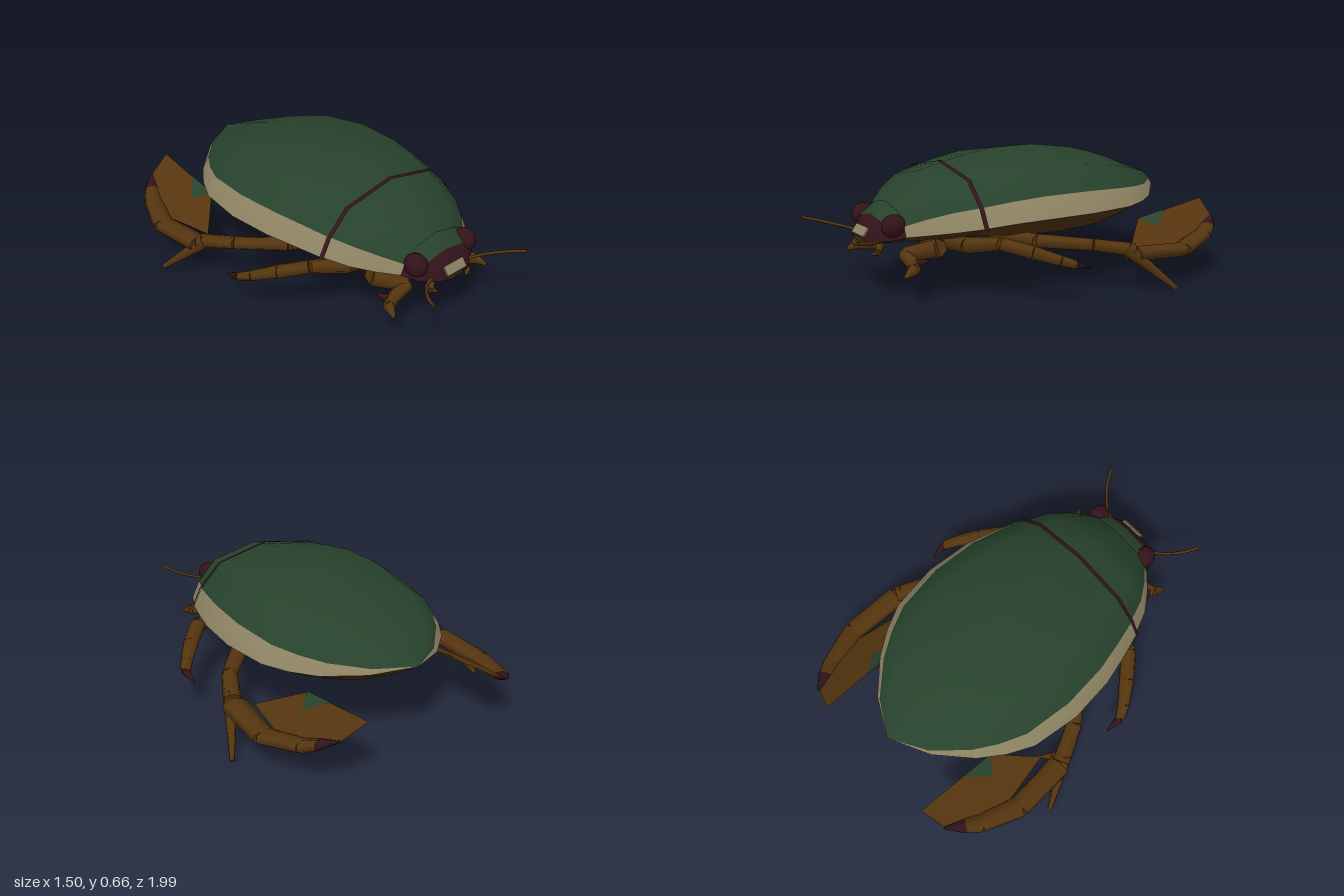
import * as THREE from 'three';

const flat = (name, color) => {
  const m = new THREE.MeshStandardMaterial({ color, side: THREE.DoubleSide });
  m.name = name;
  return m;
};

// Half profiles (width fraction, height fraction), from the rim to the centre line
const DOME = [[1, 0], [0.89, 0.36], [0.63, 0.79], [0, 1]];
const KEEL = [[1, 0], [0.8, 0.35], [0.45, 0.85], [0, 1]];

// Rows are [z, half width, rim y, top y, bottom y], front to back.
// pick(row, segment) returns the material index of each strip.
function shell(name, rows, materials, pick = () => 0, under = false) {
  const half = under ? KEEL : DOME;
  const profile = [...half, ...half.slice(0, -1).reverse().map(([u, v]) => [-u, v])];
  if (under) profile.reverse();
  const n = profile.length, pos = [], index = [], geo = new THREE.BufferGeometry();
  for (const [z, w, rim, top, bottom] of rows)
    for (const [u, v] of profile) pos.push(u * w, rim + v * ((under ? bottom : top) - rim), z);
  for (let i = 0; i < rows.length - 1; i++)
    for (let j = 0; j < n - 1; j++) {
      const a = i * n + j, b = a + 1, c = a + n, d = c + 1;
      geo.addGroup(index.length, 6, pick(i, j));
      index.push(a, c, b, b, c, d);
    }
  geo.setAttribute('position', new THREE.Float32BufferAttribute(pos, 3));
  geo.setIndex(index);
  geo.computeVertexNormals();
  const mesh = new THREE.Mesh(geo, materials);
  mesh.name = name;
  return mesh;
}

// Chain of tapered segments through [x, y, z, radius]; tip colours the last one
function limb(name, points, s, mat, tip = mat, thin = 1, sides = 7) {
  const group = new THREE.Group();
  group.name = name;
  for (let i = 0; i < points.length - 1; i++) {
    const [p, q] = [points[i], points[i + 1]];
    const a = new THREE.Vector3(p[0] * s, p[1], p[2]);
    const b = new THREE.Vector3(q[0] * s, q[1], q[2]);
    const dir = b.clone().sub(a), len = dir.length();
    dir.normalize();
    const across = new THREE.Vector3().crossVectors(dir, new THREE.Vector3(0, 1, 0)).normalize();
    const basis = new THREE.Matrix4().makeBasis(across, dir, new THREE.Vector3().crossVectors(across, dir));
    basis.setPosition(a.add(b).multiplyScalar(0.5));
    const geo = new THREE.CylinderGeometry(q[3], p[3], len, sides);
    geo.scale(1, 1, thin).applyMatrix4(basis);
    const mesh = new THREE.Mesh(geo, i === points.length - 2 ? tip : mat);
    mesh.name = name + 'Segment';
    group.add(mesh);
  }
  return group;
}

// Flat fan of corners
function plate(name, corners, s, mat) {
  const geo = new THREE.BufferGeometry();
  geo.setAttribute('position', new THREE.Float32BufferAttribute(corners.flatMap(([x, y, z]) => [x * s, y, z]), 3));
  const index = [];
  for (let i = 1; i < corners.length - 1; i++) index.push(0, ...(s > 0 ? [i, i + 1] : [i + 1, i]));
  geo.setIndex(index);
  geo.computeVertexNormals();
  const mesh = new THREE.Mesh(geo, mat);
  mesh.name = name;
  return mesh;
}

export function createModel() {
  const green = flat('shellGreen', 0x27422c);
  const cream = flat('rimCream', 0x8c8262);
  const brown = flat('legBrown', 0x55350f);
  const maroon = flat('darkMaroon', 0x32131a);
  const model = new THREE.Group();
  model.name = 'beetle';

  // Wing cases and abdomen
  const abdomen = [
    [0.39, 0.445, 0.36, 0.61, 0.26], [0.25, 0.487, 0.375, 0.637, 0.245],
    [0.1, 0.525, 0.385, 0.66, 0.23], [-0.14, 0.545, 0.39, 0.66, 0.215],
    [-0.39, 0.51, 0.39, 0.625, 0.225], [-0.52, 0.445, 0.39, 0.59, 0.255],
    [-0.64, 0.36, 0.395, 0.55, 0.3], [-0.79, 0.2, 0.42, 0.49, 0.38],
    [-0.89, 0.005, 0.45, 0.453, 0.447],
  ];
  const rimmed = (i, j) => (j === 0 || j === 5 ? 1 : 0);
  model.add(shell('wingCases', abdomen, [green, cream], rimmed));
  model.add(shell('abdomen', abdomen, [brown], undefined, true));

  // Thorax with a dark seam behind it
  const thorax = [
    [0.7, 0.23, 0.315, 0.45, 0.265], [0.62, 0.31, 0.33, 0.52, 0.26],
    [0.52, 0.385, 0.345, 0.58, 0.255], [0.39, 0.44, 0.358, 0.61, 0.255],
  ];
  model.add(shell('thorax', thorax, [green, cream], rimmed));
  model.add(shell('thoraxUnderside', thorax, [brown], undefined, true));
  model.add(shell('seam', [[0.408, 0.443, 0.353, 0.617], [0.388, 0.452, 0.355, 0.62]], [maroon]));

  // Head: dark face, green crown, pale lip
  const head = [
    [0.836, 0.002, 0.285, 0.29, 0.28], [0.834, 0.09, 0.285, 0.31, 0.268],
    [0.8, 0.14, 0.29, 0.36, 0.263], [0.77, 0.19, 0.3, 0.395, 0.26],
    [0.68, 0.235, 0.315, 0.455, 0.26], [0.6, 0.23, 0.33, 0.46, 0.27],
  ];
  model.add(shell('head', head, [green, maroon], (i, j) => (i < 3 || j === 0 || j === 5 ? 1 : 0)));
  model.add(shell('jaw', head, [brown], undefined, true));
  const lip = new THREE.Mesh(new THREE.BoxGeometry(0.13, 0.048, 0.008), cream);
  lip.name = 'lip';
  lip.position.set(0, 0.323, 0.828);
  lip.rotation.x = -0.61;
  model.add(lip);

  for (const s of [1, -1]) {
    const side = new THREE.Group();
    side.name = s > 0 ? 'leftSide' : 'rightSide';

    const eye = new THREE.Mesh(new THREE.SphereGeometry(1, 14, 10), maroon);
    eye.name = 'eye';
    eye.scale.set(0.052, 0.056, 0.062);
    eye.position.set(0.168 * s, 0.362, 0.735);
    side.add(eye);

    // Antenna
    const path = [[0.1, 0.295, 0.79], [0.17, 0.302, 0.815], [0.24, 0.315, 0.87], [0.29, 0.33, 0.93], [0.325, 0.345, 0.99]];
    const curve = new THREE.CatmullRomCurve3(path.map(([x, y, z]) => new THREE.Vector3(x * s, y, z)));
    const antenna = new THREE.Mesh(new THREE.TubeGeometry(curve, 12, 0.008, 6), brown);
    antenna.name = 'antenna';
    side.add(antenna);

    // Mouth feeler
    side.add(limb('palp', [[0.08, 0.27, 0.76, 0.018], [0.13, 0.24, 0.8, 0.016], [0.1, 0.225, 0.815, 0.006]], s, brown));

    // Front leg
    side.add(limb('frontLeg', [
      [0.06, 0.25, 0.5, 0.045], [0.27, 0.255, 0.56, 0.045], [0.15, 0.215, 0.67, 0.035],
      [0.26, 0.185, 0.68, 0.032], [0.3, 0.18, 0.7, 0.03], [0.325, 0.155, 0.76, 0.008]], s, brown));
    side.add(limb('frontClaw', [[0.28, 0.2, 0.67, 0.02], [0.31, 0.215, 0.63, 0.006]], s, maroon));

    // Middle leg
    side.add(limb('middleLeg', [
      [0.08, 0.235, 0.42, 0.045], [0.28, 0.25, 0.4, 0.05], [0.46, 0.285, 0.33, 0.04], [0.56, 0.25, 0.22, 0.04],
      [0.64, 0.215, 0.12, 0.032], [0.675, 0.195, 0.06, 0.025], [0.672, 0.17, -0.03, 0.004]], s, brown, maroon, 0.8));

    // Hind leg with spurs and swimming paddle
    side.add(limb('hindThigh', [
      [0.1, 0.235, 0.14, 0.05], [0.36, 0.245, 0.06, 0.045], [0.54, 0.235, -0.14, 0.04],
      [0.63, 0.205, -0.32, 0.045]], s, brown, brown, 0.75));
    side.add(limb('hindSpur', [[0.62, 0.215, -0.28, 0.035], [0.742, 0.01, -0.5, 0.012]], s, brown));
    side.add(limb('smallSpur', [[0.58, 0.18, -0.32, 0.022], [0.515, 0.11, -0.37, 0.005]], s, brown));
    side.add(limb('paddle', [
      [0.632, 0.185, -0.33, 0.06], [0.645, 0.172, -0.62, 0.057], [0.575, 0.205, -0.82, 0.048],
      [0.535, 0.235, -0.89, 0.038], [0.482, 0.275, -0.972, 0.006]], s, brown, maroon, 0.6));
    side.add(plate('paddleFin', [
      [0.6, 0.18, -0.7], [0.48, 0.27, -0.97], [0.355, 0.345, -1],
      [0.37, 0.28, -0.56], [0.54, 0.18, -0.37]], s, brown));
    side.add(plate('finPatch', [[0.365, 0.312, -0.74], [0.37, 0.285, -0.56], [0.45, 0.25, -0.63]], s, green));
    model.add(side);
  }
  return model;
}
